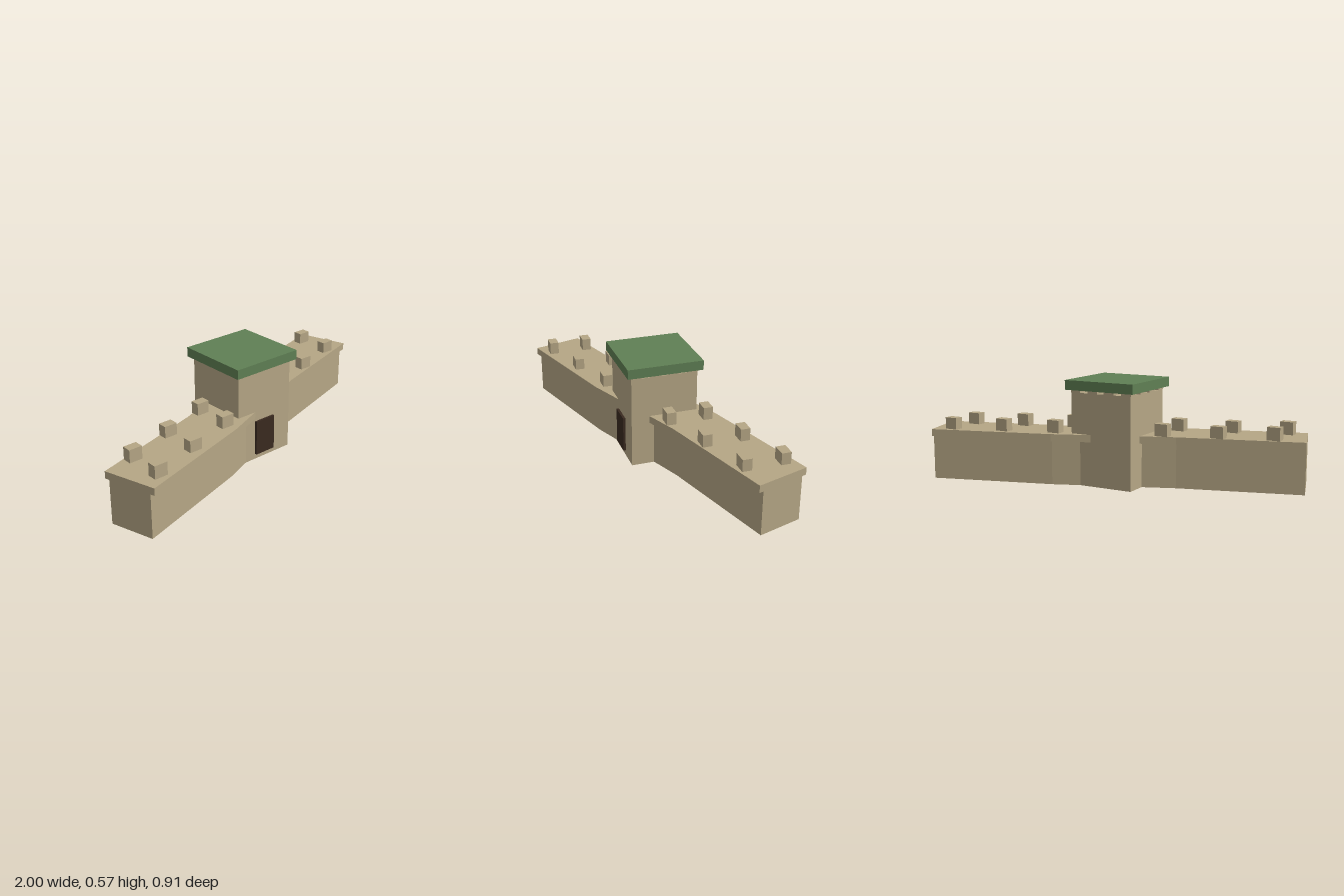
import * as THREE from 'three';

export function createModel() {
  const model = new THREE.Group();
  const material = (name, color) => {
    const m = new THREE.MeshStandardMaterial({ color });
    m.name = name;
    return m;
  };
  const stone = material('sandstone', 0xb5a685);
  const green = material('roofGreen', 0x5f7f54);
  const wood = material('darkWood', 0x3a2a20);

  const add = (name, geometry, mat) => {
    const mesh = new THREE.Mesh(geometry, mat);
    mesh.name = name;
    model.add(mesh);
    return mesh;
  };
  // Box given by its centre in plan and its bottom and top heights
  const block = (name, mat, w, d, x, z, y0, y1) =>
    add(name, new THREE.BoxGeometry(w, y1 - y0, d), mat).position.set(x, (y0 + y1) / 2, z);

  // Bent centre line of the wall in plan, as (x, z)
  const path = [[-0.958, 0.316], [-0.31, 0.124], [0.31, -0.124], [0.958, -0.316]]
    .map(([x, z]) => new THREE.Vector2(x, z));
  // Mitred strip along the centre line, raised between two heights
  const strip = (name, halfWidth, y0, y1) => {
    const front = [], back = [];
    path.forEach((p, i) => {
      const before = path[Math.max(i - 1, 0)], after = path[Math.min(i + 1, 3)];
      const a = p.clone().sub(before).normalize(), b = after.clone().sub(p).normalize();
      const dir = a.add(b).normalize();
      const n = new THREE.Vector2(-dir.y, dir.x).multiplyScalar(halfWidth);
      front.push(p.clone().add(n));
      back.unshift(p.clone().sub(n));
    });
    const shape = new THREE.Shape([...front, ...back].map(p => new THREE.Vector2(p.x, -p.y)));
    const geometry = new THREE.ExtrudeGeometry(shape, { depth: y1 - y0, bevelEnabled: false });
    geometry.rotateX(-Math.PI / 2).translate(0, y0, 0);
    add(name, geometry, stone);
  };
  strip('wallBody', 0.12, 0, 0.24);
  strip('wallWalkway', 0.144, 0.24, 0.279);

  // Pairs of merlons along both arms of the wall: x, z of the pair's middle, top
  const pairs = [
    [-0.833, 0.27, 0.348], [-0.558, 0.18, 0.342], [-0.28, 0.09, 0.345],
    [0.275, -0.095, 0.347], [0.55, -0.185, 0.345], [0.826, -0.275, 0.342],
  ];
  for (const [x, z, top] of pairs)
    for (const side of [-1, 1])
      block('wallMerlon', stone, 0.072, 0.05, x, z + side * 0.1, 0.279, top);

  // Gate tower
  block('tower', stone, 0.36, 0.36, 0, 0, 0, 0.5);
  block('door', wood, 0.125, 0.014, 0, 0.186, 0.03, 0.225);

  // Ring of small merlons carrying the roof
  const spots = [-0.153, -0.05, 0.05, 0.153];
  spots.forEach((x, i) => spots.forEach((z, j) => {
    if (i % 3 === 0 || j % 3 === 0) block('towerMerlon', stone, 0.058, 0.058, x, z, 0.5, 0.53);
  }));
  block('roof', green, 0.41, 0.41, 0, 0, 0.515, 0.567);

  return model;
}
